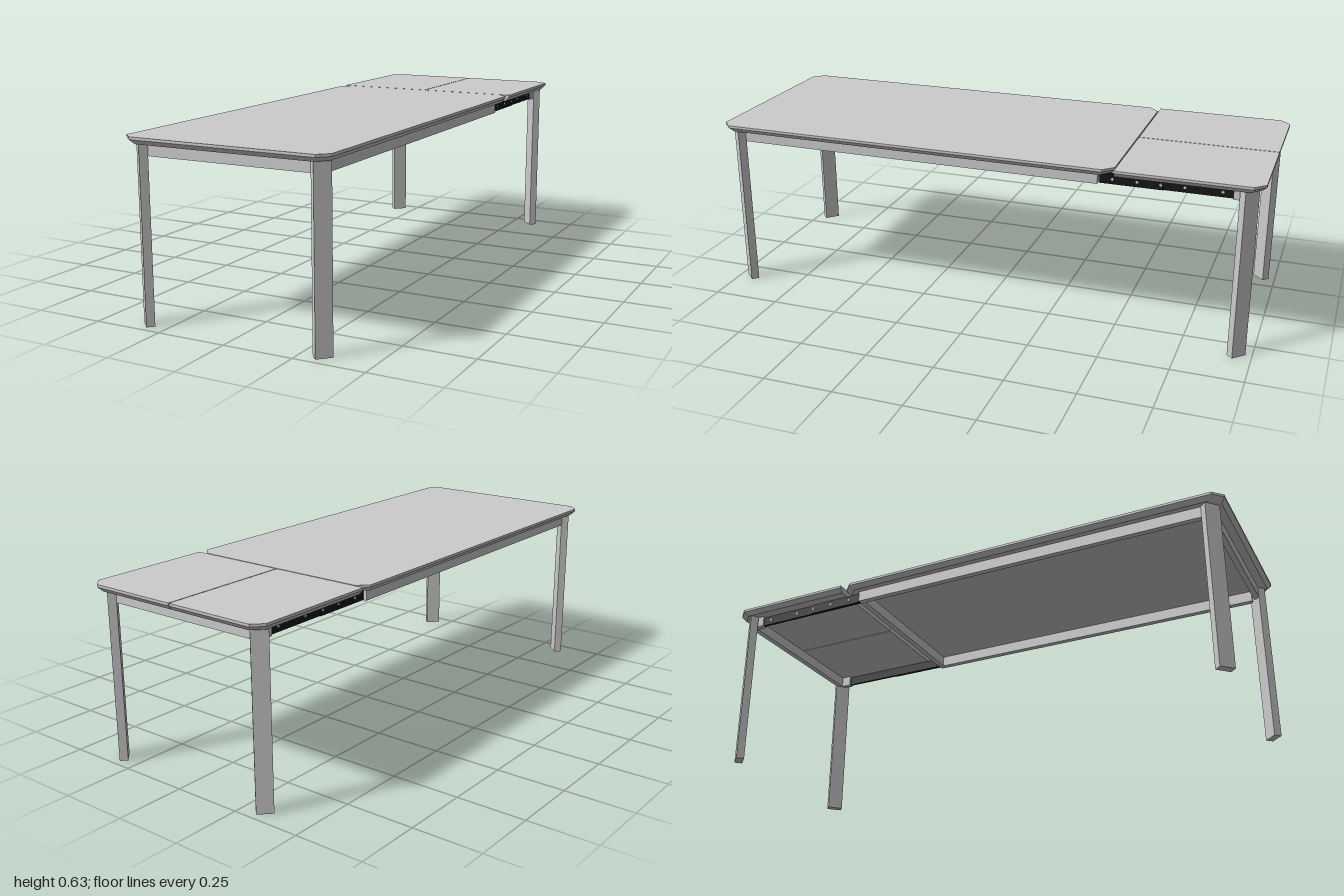
import * as THREE from 'three';

const grey = new THREE.MeshStandardMaterial({ color: 0xcccccc, flatShading: true });
const black = new THREE.MeshStandardMaterial({ color: 0x161616, flatShading: true });
const TOP = 0.633, UNDER = 0.608, HALF = 0.373;
const RAIL_H = 0.041, RAIL_Y = UNDER - RAIL_H / 2;

function add(group, name, geometry, material, x, y, z) {
  const mesh = new THREE.Mesh(geometry, material);
  mesh.name = name;
  mesh.position.set(x, y, z);
  group.add(mesh);
  return mesh;
}

const box = (group, name, w, h, d, x, y, z, material = grey) =>
  add(group, name, new THREE.BoxGeometry(w, h, d), material, x, y, z);

// Slab with a short vertical lip and an undercut edge; coordinates are plan [x, z]
function slab(group, name, outline, zBack, zFront) {
  const shape = new THREE.Shape(outline.map(([x, z]) => new THREE.Vector2(x, z)));
  const depth = TOP - UNDER, inset = 0.014;
  const geometry = new THREE.ExtrudeGeometry(shape, { depth, steps: 2, bevelEnabled: false });
  geometry.rotateX(Math.PI / 2);
  const p = geometry.attributes.position;
  for (let i = 0; i < p.count; i++) {
    const drop = -p.getY(i) / depth;
    if (drop > 0.9) {
      const x = p.getX(i), z = p.getZ(i);
      if (Math.abs(x) > 0.1) p.setX(i, x - Math.sign(x) * inset);
      if (z > zFront - 0.06) p.setZ(i, z - inset);
      else if (z < zBack + 0.06) p.setZ(i, z + inset);
    } else if (drop > 0.1) p.setY(i, -0.009);
  }
  geometry.computeVertexNormals();
  add(group, name, geometry, grey, 0, TOP, 0);
}

export function createModel() {
  const table = new THREE.Group();
  table.name = 'extendingTable';

  // Main top with four clipped corners
  const c = 0.036, back = -0.499;
  slab(table, 'mainTop', [
    [-HALF + c, back], [HALF - c, back], [HALF, back + c], [HALF, 1 - c],
    [HALF - c, 1], [-HALF + c, 1], [-HALF, 1 - c], [-HALF, back + c],
  ], back, 1);

  // Two extension leaves, split along the centre line
  for (const s of [-1, 1]) {
    slab(table, s > 0 ? 'leftLeaf' : 'rightLeaf', [
      [s * 0.0015, -1], [s * (HALF - c), -1], [s * HALF, -1 + c],
      [s * HALF, -0.503], [s * 0.0015, -0.503],
    ], -1, 10);
  }

  // Plank legs set diagonally across the corners
  for (const sx of [-1, 1]) for (const sz of [-1, 1]) {
    const leg = box(table, (sz > 0 ? 'front' : 'back') + (sx > 0 ? 'Left' : 'Right') + 'Leg',
      0.057, UNDER, 0.029, sx * 0.3275, UNDER / 2, sz * 0.9465);
    leg.rotation.y = Math.atan2(sx, sz);
  }

  // End aprons and the cross rail below the joint
  box(table, 'frontApron', 0.62, RAIL_H, 0.022, 0, RAIL_Y, 0.945);
  box(table, 'backApron', 0.62, RAIL_H, 0.022, 0, RAIL_Y, -0.945);
  box(table, 'crossRail', 0.63, RAIL_H, 0.022, 0, RAIL_Y, -0.432);

  for (const s of [-1, 1]) {
    const side = s > 0 ? 'left' : 'right';
    // Long side apron, and a short block beside the back leg
    box(table, side + 'Apron', 0.022, RAIL_H, 1.365, s * 0.327, RAIL_Y, 0.2425);
    box(table, side + 'BackBlock', 0.022, RAIL_H, 0.04, s * 0.32, RAIL_Y, -0.915);

    // Telescopic slide in two sections, with screw heads
    const slide = new THREE.Group();
    slide.name = side + 'Slide';
    box(slide, 'outerRunner', 0.014, 0.036, 0.22, s * 0.322, 0.587, -0.555, black);
    box(slide, 'innerRunner', 0.01, 0.036, 0.26, s * 0.32, 0.587, -0.77, black);
    const screw = new THREE.CylinderGeometry(0.005, 0.005, 0.003, 10).rotateZ(Math.PI / 2);
    for (const z of [-0.49, -0.575, -0.655, -0.735, -0.86])
      add(slide, 'screw', screw, grey, s * (z > -0.66 ? 0.33 : 0.326), 0.587, z);
    table.add(slide);
  }
  return table;
}
